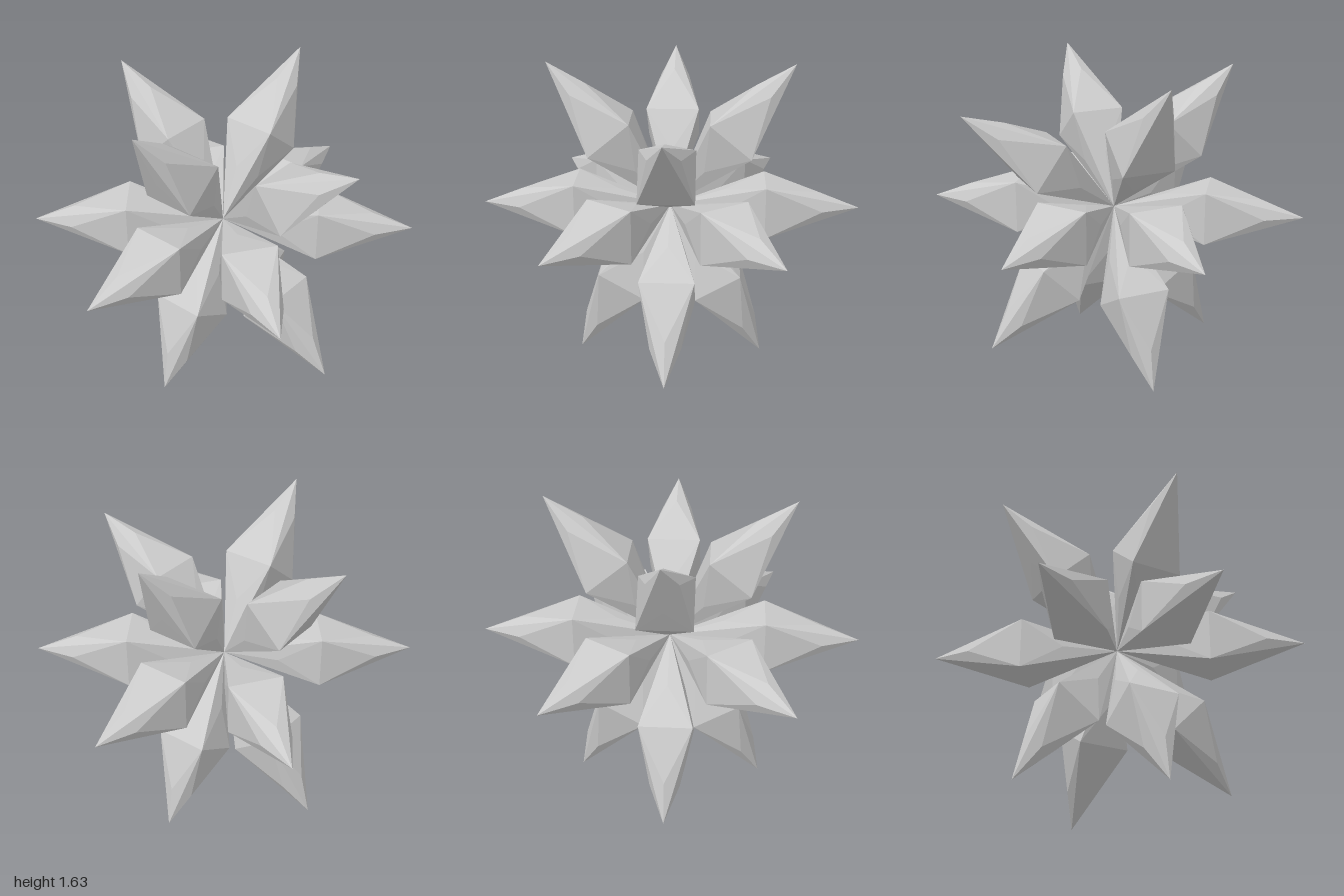
import * as THREE from 'three';

const CENTRE_Y = 0.86;

// One crystal spike: square bipyramid from the centre to the tip, each face raised at a mid point.
// s = sideways, u = up, d = along the spike.
function spikeGeometry(dir) {
  const d = new THREE.Vector3(...dir).normalize();
  const s = new THREE.Vector3(0, 1, 0).cross(d).normalize();
  const u = d.clone().cross(s);
  const at = (a, b, t) => new THREE.Vector3()
    .addScaledVector(s, a).addScaledVector(u, b).addScaledVector(d, t);

  const root = at(0, 0, 0), tip = at(0, 0, 1);
  const corners = [at(0.142, 0.147, 0.5), at(-0.142, 0.147, 0.5), at(-0.142, -0.131, 0.5), at(0.142, -0.131, 0.5)];
  const tipMids = [at(0, 0.083, 0.79), at(-0.08, 0, 0.8), at(0, -0.09, 0.66), at(0.08, 0, 0.8)];
  const rootMids = [at(0, 0.09, 0.28), at(-0.09, 0, 0.28), at(0, -0.085, 0.28), at(0.09, 0, 0.28)];

  const points = [];
  const poke = (a, b, c, m) => points.push(a, b, m, b, c, m, c, a, m);
  for (let i = 0; i < 4; i++) {
    const a = corners[i], b = corners[(i + 1) % 4];
    poke(a, b, tip, tipMids[i]);
    poke(b, a, root, rootMids[i]);
  }
  const geometry = new THREE.BufferGeometry().setFromPoints(points);
  geometry.computeVertexNormals();
  return geometry;
}

export function createModel() {
  const model = new THREE.Group();
  model.name = 'spikyCrystal';
  const material = new THREE.MeshStandardMaterial({ color: 0xcccccc, flatShading: true });

  // Unit directions of the spikes
  const spikes = {
    leftSpike: [1, 0, 0],
    rightSpike: [-1, 0, 0],
    upperLeftSpike: [0.64, 0.77, 0],
    upperRightSpike: [-0.64, 0.77, 0],
    lowerLeftSpike: [0.5, -0.86, 0],
    lowerRightSpike: [-0.5, -0.86, 0],
    frontLeftSpike: [0.57, 0, 0.815],
    frontRightSpike: [-0.57, 0, 0.815],
    backLeftSpike: [0.57, 0, -0.82],
    backRightSpike: [-0.64, 0, -0.77],
    upperFrontSpike: [0, 0.58, 0.815],
    upperBackSpike: [0, 0.71, -0.704],
    lowerFrontSpike: [0, -0.7, 0.71],
    lowerBackSpike: [0, -0.81, -0.575],
  };
  for (const [name, dir] of Object.entries(spikes)) {
    const mesh = new THREE.Mesh(spikeGeometry(dir), material);
    mesh.name = name;
    mesh.position.y = CENTRE_Y;
    model.add(mesh);
  }
  return model;
}
